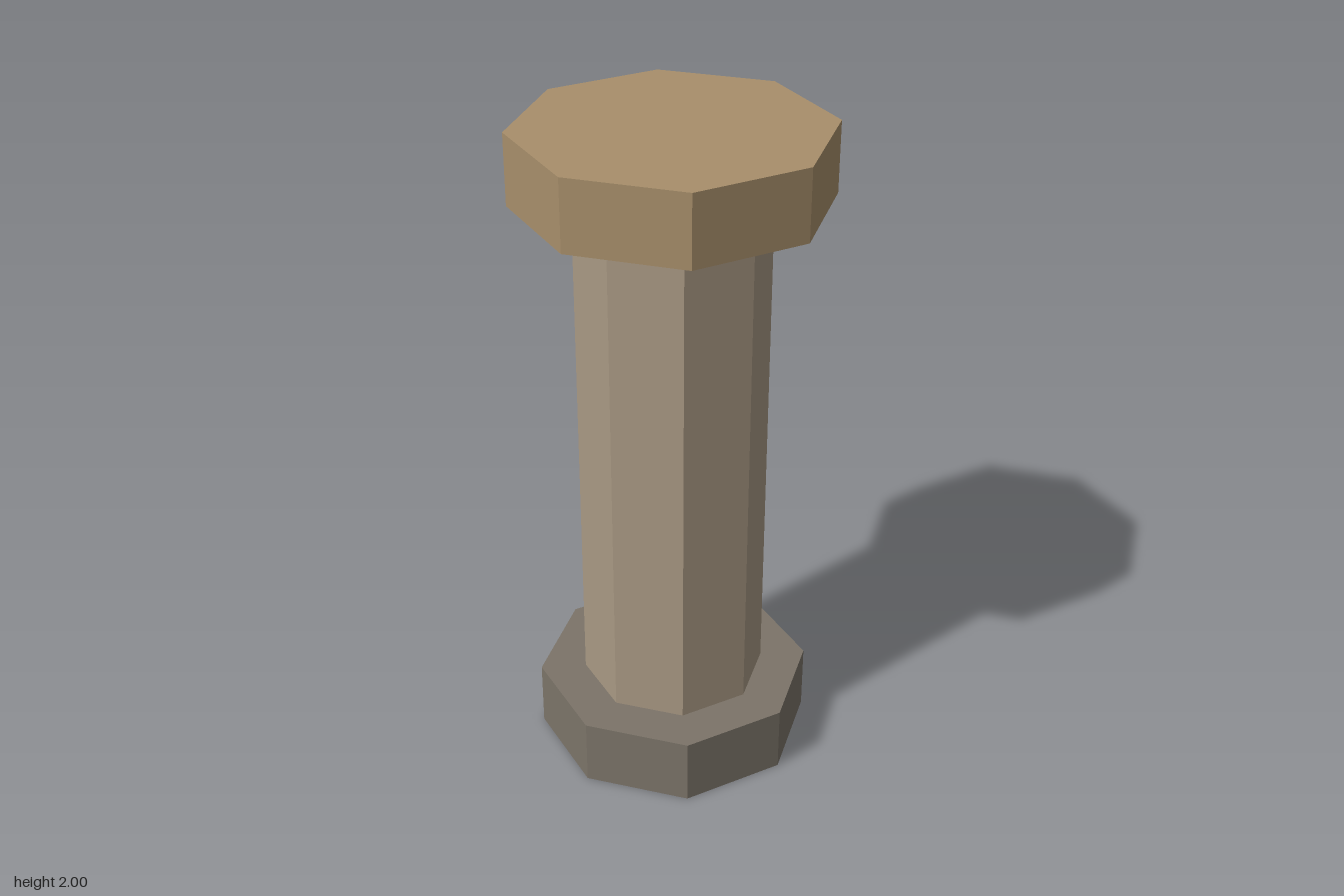
import * as THREE from 'three';

const paint = (name, color) => {
  const material = new THREE.MeshStandardMaterial({ color, flatShading: true });
  material.name = name;
  return material;
};

export function createModel() {
  const pillar = new THREE.Group();
  pillar.name = 'pillar';

  // Octagonal drum with corners on the x and z axes
  const addDrum = (name, radius, bottom, top, material) => {
    const drum = new THREE.Mesh(new THREE.CylinderGeometry(radius, radius, top - bottom, 8), material);
    drum.name = name;
    drum.position.y = (bottom + top) / 2;
    pillar.add(drum);
  };

  addDrum('base', 0.42, 0, 0.21, paint('dark stone', 0x7c7469));
  addDrum('shaft', 0.28, 0.21, 1.79, paint('pale stone', 0xa99984));
  addDrum('capital', 0.455, 1.79, 2, paint('tan stone', 0xa88f6b));

  return pillar;
}
